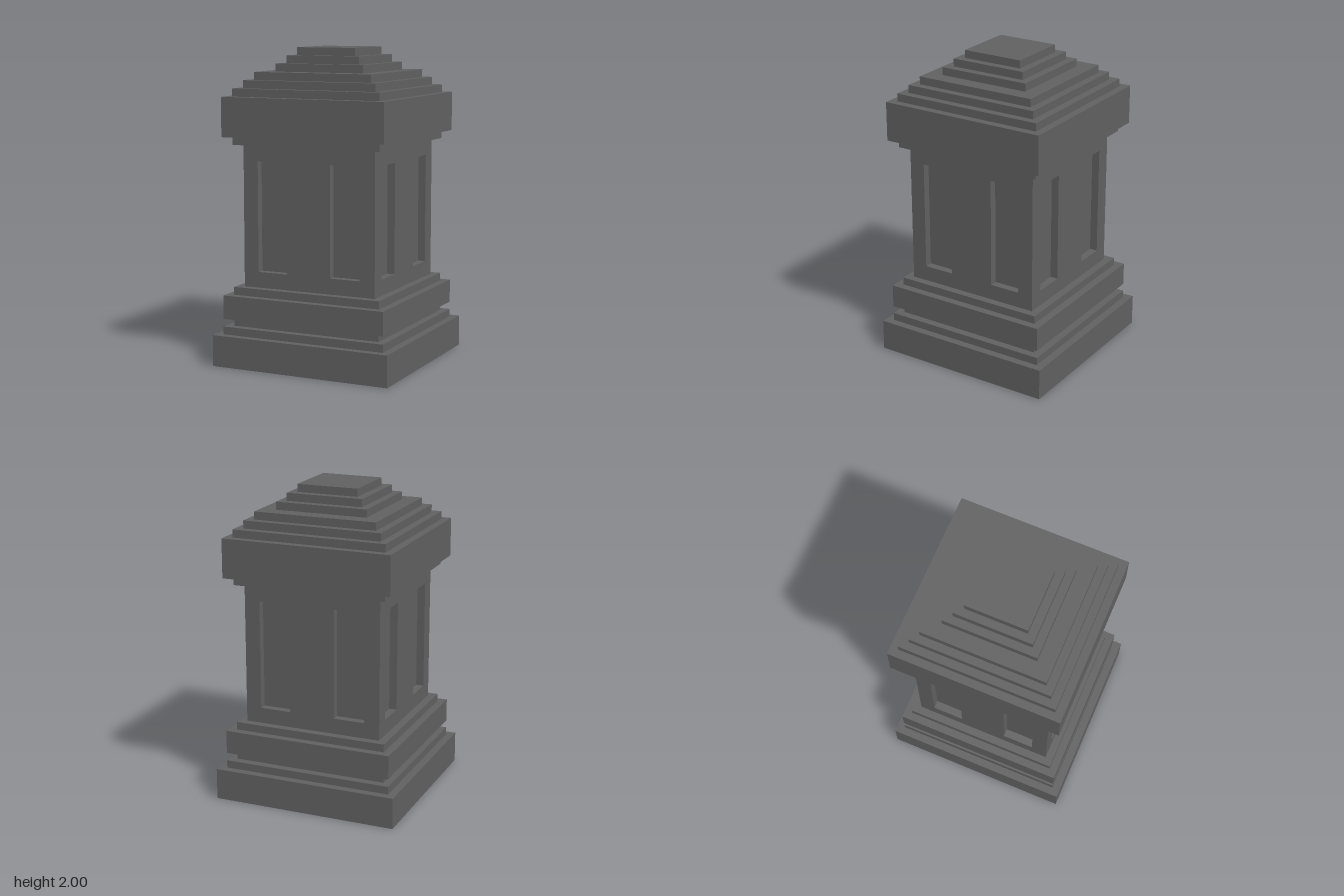
import * as THREE from 'three';

export function createModel() {
  const model = new THREE.Group();
  model.name = 'pillar';
  const stone = new THREE.MeshStandardMaterial({ color: 0x606060 });
  stone.name = 'dark grey stone';

  function add(name, geometry, parent = model) {
    const mesh = new THREE.Mesh(geometry, stone);
    mesh.name = name;
    parent.add(mesh);
    return mesh;
  }

  // Square tiers: name, half width, bottom, top
  const tiers = [
    ['plinth', 0.6, 0, 0.2],
    ['plinthStep', 0.55, 0.2, 0.25],
    ['baseNeck', 0.5, 0.25, 0.3],
    ['baseBand', 0.55, 0.3, 0.45],
    ['shaftFoot', 0.5, 0.45, 0.5],
    ['shaftCore', 0.4, 0.5, 1.4],
    ['shaftCollar', 0.5, 1.4, 1.45],
    ['capBlock', 0.55, 1.45, 1.7],
    ['roofStep1', 0.5, 1.7, 1.75],
    ['roofStep2', 0.45, 1.75, 1.8],
    ['roofStep3', 0.4, 1.8, 1.85],
    ['roofStep4', 0.3, 1.85, 1.9],
    ['roofStep5', 0.25, 1.9, 1.95],
    ['roofTop', 0.2, 1.95, 2],
  ];
  for (const [name, half, bottom, top] of tiers) {
    const tier = add(name, new THREE.BoxGeometry(half * 2, top - bottom, half * 2));
    tier.position.y = (bottom + top) / 2;
  }

  // Shaft faces: slabs around the core, each with two tall recesses
  function rectangle(path, x0, y0, x1, y1) {
    path.moveTo(x0, y0).lineTo(x1, y0).lineTo(x1, y1).lineTo(x0, y1).closePath();
    return path;
  }
  const shaftFaces = new THREE.Group();
  shaftFaces.name = 'shaftFaces';
  model.add(shaftFaces);
  ['front', 'left', 'back', 'right'].forEach((side, i) => {
    const half = i % 2 ? 0.4 : 0.45; // side slabs fit between front and back
    const shape = rectangle(new THREE.Shape(), -half, 0.5, half, 1.4);
    for (const x of [-0.35, 0.15]) {
      shape.holes.push(rectangle(new THREE.Path(), x, 0.6, x + 0.2, 1.3));
    }
    const geometry = new THREE.ExtrudeGeometry(shape, { depth: 0.05, bevelEnabled: false });
    geometry.translate(0, 0, 0.4);
    add(side + 'RecessedFace', geometry, shaftFaces).rotation.y = i * Math.PI / 2;
  });

  return model;
}
